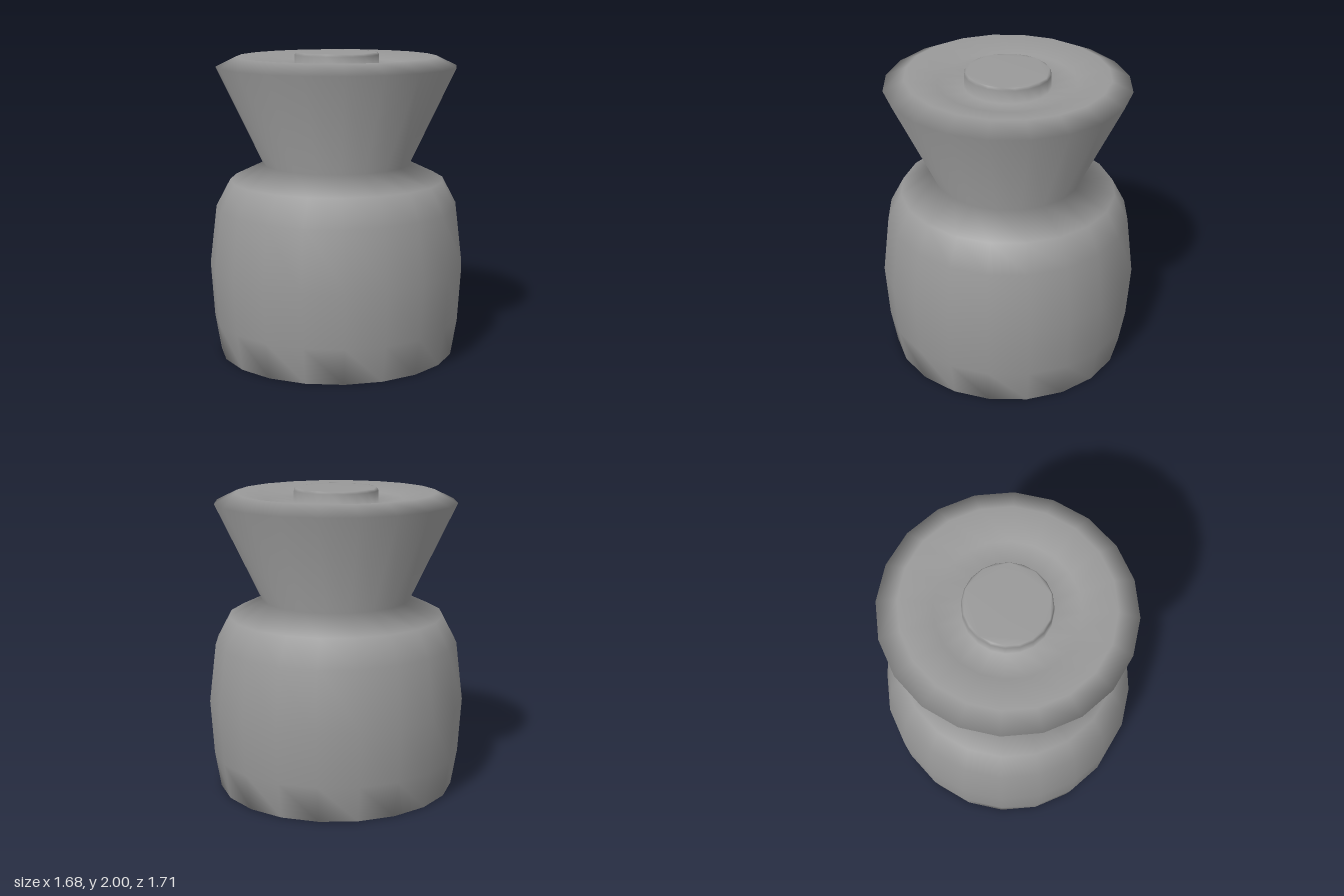
import * as THREE from 'three';
import { mergeGeometries, mergeVertices } from 'three/addons/utils/BufferGeometryUtils.js';

const SIDES = 20;

// Flat polygon cap of the given radius, facing up (or down) at height y
function cap(radius, y, facing) {
  const corners = [];
  for (let i = 0; i < SIDES; i++) {
    const a = (i / SIDES) * Math.PI * 2;
    corners.push(new THREE.Vector2(Math.cos(a) * radius, Math.sin(a) * radius));
  }
  return new THREE.ShapeGeometry(new THREE.Shape(corners))
    .rotateX(-facing * Math.PI / 2)
    .translate(0, y, 0);
}

// Smooth turned jar with a flared, dished top and a low central knob
export function createModel() {
  const group = new THREE.Group();

  // [radius, height] from the base edge up to the knob edge
  const profile = [
    [0.79, 0],                               // base
    [0.83, 0.24], [0.853, 0.6],              // belly
    [0.806, 0.99], [0.713, 1.165],           // shoulder
    [0.49, 1.27],                            // neck
    [0.795, 1.91], [0.66, 1.975],            // flared rim
    [0.45, 1.925], [0.28, 1.9],              // dished top
    [0.278, 1.985], [0.268, 2],              // knob
  ].map(([r, y]) => new THREE.Vector2(r, y));

  const parts = [
    new THREE.LatheGeometry(profile, SIDES),
    cap(0.79, 0, -1),
    cap(0.268, 2, 1),
  ];

  // Weld into one skin so the shading runs smoothly over every edge
  const joined = mergeGeometries(parts);
  joined.deleteAttribute('normal');
  joined.deleteAttribute('uv');
  const skin = mergeVertices(joined, 1e-4);
  skin.scale(0.985, 1, 1); // very slightly oval
  skin.computeVertexNormals();

  const jar = new THREE.Mesh(skin, new THREE.MeshStandardMaterial({ color: 0x999999 }));
  jar.name = 'jar';
  group.add(jar);
  return group;
}
